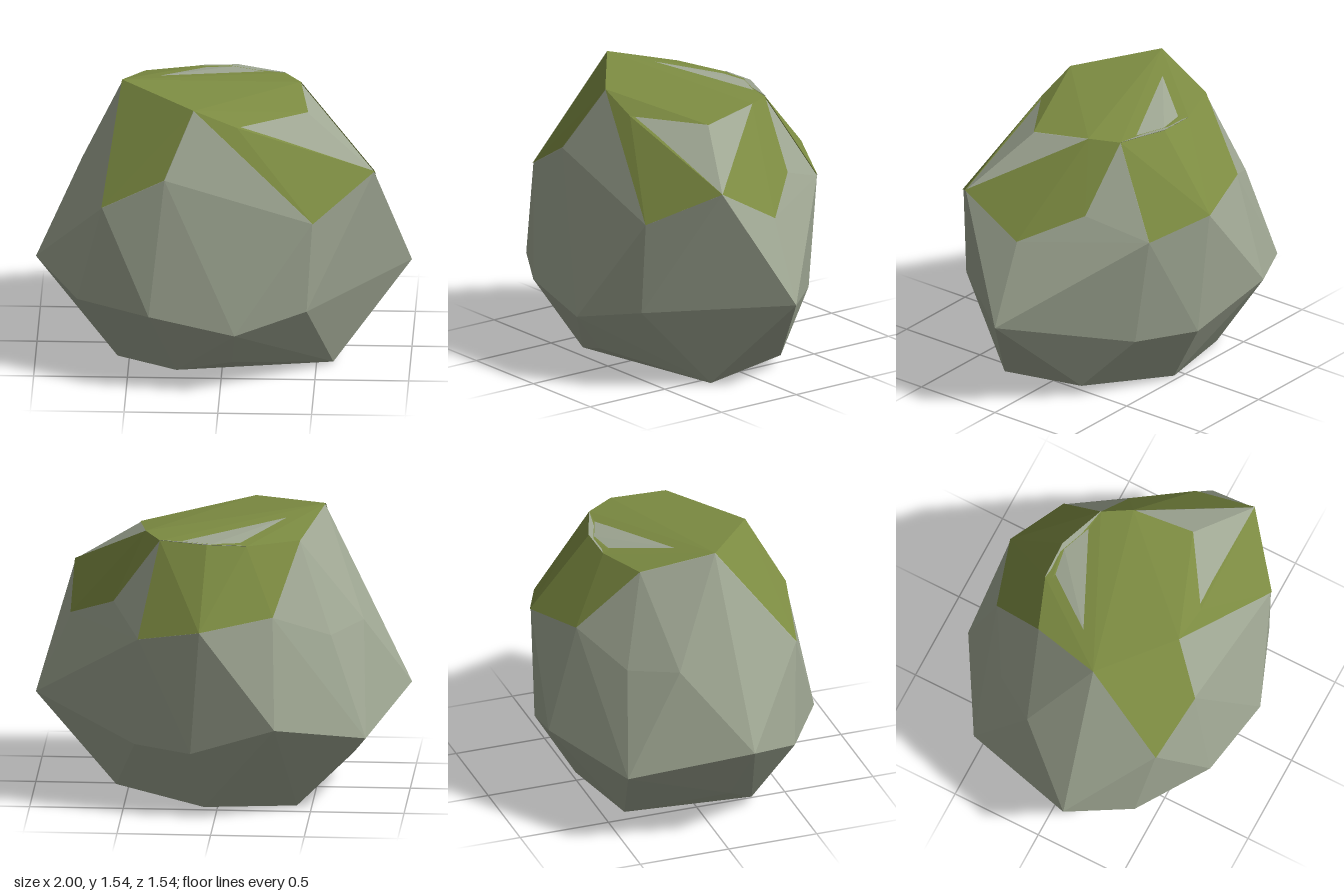
import * as THREE from 'three';
import { ConvexGeometry } from 'three/addons/geometries/ConvexGeometry.js';

const v = (x, y, z) => new THREE.Vector3(x, y, z);

// Corners of the upper boulder that border the moss
const c = {
  peak: v(-0.54, 1.54, 0.09), brow: v(-0.15, 1.49, 0.40),
  ledgeFront: v(0.08, 1.40, 0.41), ledgeSide: v(0.45, 1.40, 0.17),
  crest: v(0.40, 1.44, -0.16), crestBack: v(0.315, 1.43, -0.31),
  backTopMid: v(0.06, 1.435, -0.405), backTop: v(-0.15, 1.43, -0.40),
  backTopRight: v(-0.43, 1.44, -0.295),
  cheekOuter: v(-0.635, 0.975, 0.515), cheekInner: v(-0.30, 1.16, 0.575),
  shoulder: v(0.81, 1.14, 0.35), chest: v(0.49, 0.94, 0.62),
  flank: v(0.81, 0.94, 0), flankBack: v(0.565, 1.08, -0.27),
  rearLeft: v(0.415, 0.96, -0.585), rear: v(0.08, 1.04, -0.73), rearRight: v(-0.305, 1.10, -0.61),
};

// Remaining stone corners: girth, then underside
const lower = [
  v(-0.605, 0.96, -0.43), v(-0.765, 0.985, -0.19), v(-1, 0.55, 0.15), v(1, 0.50, 0),
  v(0.08, 0.35, 0.77), v(-0.38, 0.43, 0.71), v(-0.77, 0.43, 0.46), v(0.46, 0.44, 0.625),
  v(-0.325, 0.52, -0.775), v(-0.795, 0.41, -0.495), v(0.44, 0.36, -0.51), v(0.13, 0.36, -0.69),
  v(0.59, 0.01, 0.26), v(-0.69, 0.16, 0.12), v(-0.56, 0.04, 0.29), v(-0.24, 0.04, 0.485),
  v(0.06, 0.135, 0.60), v(0.07, 0.01, -0.48), v(0.555, 0.06, -0.235), v(-0.42, 0, -0.38),
];

// A skin over some corners, lifted just off the stone and rooted inside it
const heart = v(0, 0.75, 0);
function skin(names, lift) {
  const pts = names.map((n) => c[n].clone().sub(heart).multiplyScalar(lift).add(heart));
  const root = v(0, 0, 0);
  pts.forEach((p) => root.addScaledVector(p, 1 / pts.length));
  root.lerp(heart, 0.15);
  return new ConvexGeometry([...pts, root]);
}

export function createModel() {
  const group = new THREE.Group();
  group.name = 'mossyBoulder';
  const stone = new THREE.MeshStandardMaterial({ color: 0xa0a894 });
  stone.name = 'greyStone';
  const moss = new THREE.MeshStandardMaterial({ color: 0x7d8c42 });
  moss.name = 'greenMoss';

  const add = (name, geometry, material) => {
    const mesh = new THREE.Mesh(geometry, material);
    mesh.name = name;
    group.add(mesh);
  };

  // Faceted boulder
  add('boulder', new ConvexGeometry([...Object.values(c), ...lower]), stone);

  // Moss patches
  const patches = {
    mossTop: ['peak', 'brow', 'ledgeFront', 'ledgeSide', 'crest', 'crestBack', 'backTop', 'backTopRight'],
    mossFrontRight: ['peak', 'brow', 'cheekInner', 'cheekOuter'],
    mossFrontLeft: ['brow', 'chest', 'shoulder', 'ledgeFront'],
    mossLeft: ['crest', 'crestBack', 'flankBack', 'flank', 'shoulder'],
    mossBack: ['backTop', 'backTopMid', 'crestBack', 'rearLeft', 'rear', 'rearRight', 'backTopRight'],
  };
  for (const [name, names] of Object.entries(patches)) add(name, skin(names, 1.006), moss);

  // Bare sliver of stone between the top and back moss
  add('bareSliver', skin(['backTop', 'backTopMid', 'crestBack'], 1.01), stone);
  return group;
}
